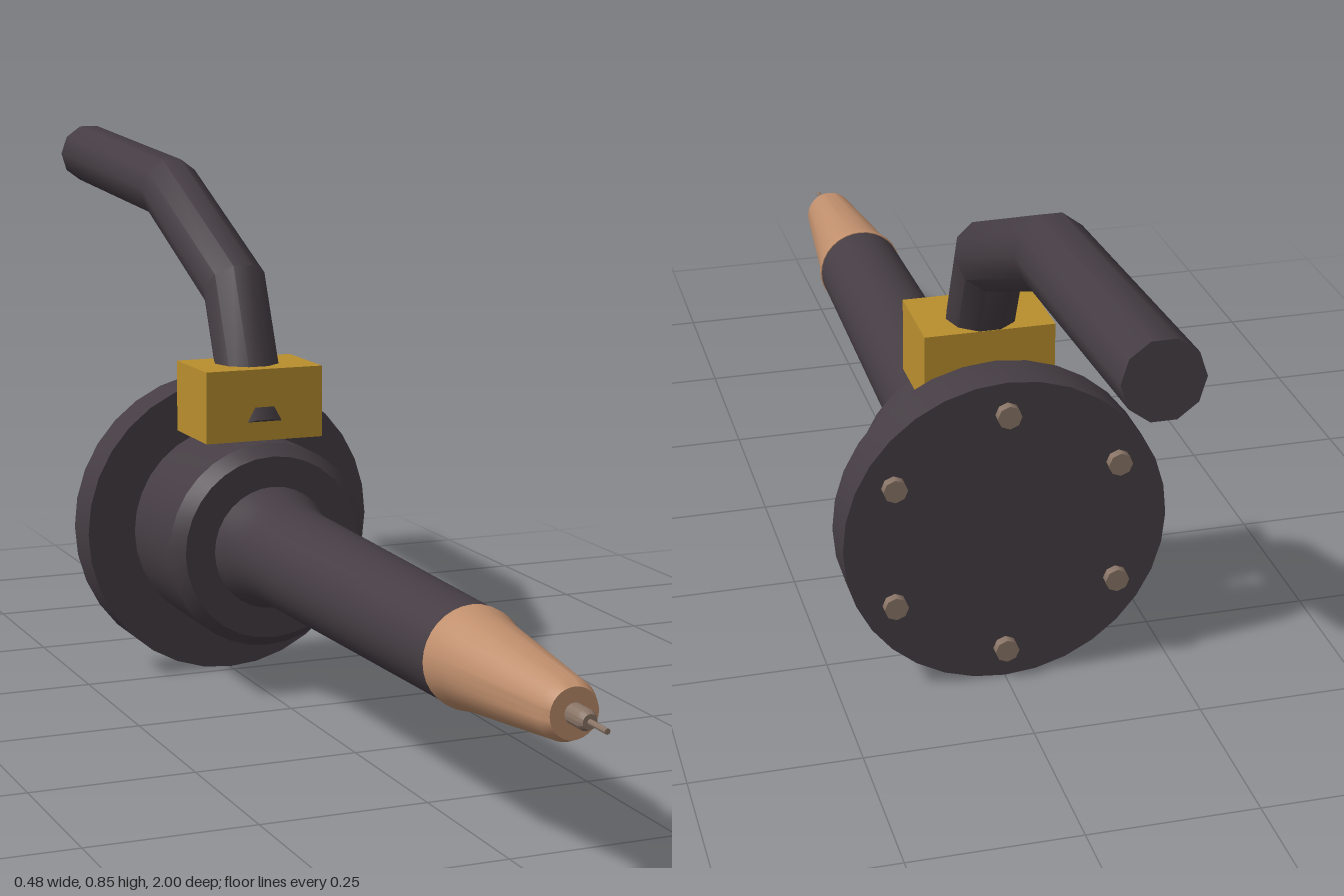
import * as THREE from 'three';
import { toCreasedNormals } from 'three/addons/utils/BufferGeometryUtils.js';

const AXIS_Y = 0.244;

const material = (name, color) => {
  const m = new THREE.MeshStandardMaterial({ color });
  m.name = name;
  return m;
};

// Turned part along z; profile is [radius, z] from back to front
function turned(name, profile, segments, mat) {
  const geo = new THREE.LatheGeometry(profile.map(([r, z]) => new THREE.Vector2(r, z)), segments);
  geo.rotateX(Math.PI / 2);
  const mesh = new THREE.Mesh(toCreasedNormals(geo, 0.45), mat);
  mesh.name = name;
  mesh.position.y = AXIS_Y;
  return mesh;
}

// Mitred pipe with closed ends; path is [y, z] points in the middle plane
function mitredPipe(path, radius, sides) {
  const pts = path.map(([y, z]) => new THREE.Vector3(0, y, z));
  const dirs = pts.slice(1).map((p, i) => p.clone().sub(pts[i]).normalize());
  const pos = [], index = [];
  pts.forEach((p, i) => {
    const before = dirs[Math.max(i - 1, 0)], after = dirs[Math.min(i, dirs.length - 1)];
    const d = before.clone().add(after).normalize();
    const stretch = 1 / d.dot(before);
    for (let j = 0; j < sides; j++) {
      const a = (j / sides) * Math.PI * 2;
      const n = Math.sin(a) * radius * stretch;
      pos.push(Math.cos(a) * radius, p.y + d.z * n, p.z - d.y * n);
    }
  });
  const last = (pts.length - 1) * sides;
  for (let j = 0; j < sides; j++) {
    const k = (j + 1) % sides;
    for (let b = 0; b < last; b += sides) {
      index.push(b + j, b + k, b + sides + k, b + j, b + sides + k, b + sides + j);
    }
    if (j > 0 && k > 0) index.push(0, k, j, last, last + j, last + k);
  }
  const geo = new THREE.BufferGeometry();
  geo.setAttribute('position', new THREE.Float32BufferAttribute(pos, 3));
  geo.setIndex(index);
  return toCreasedNormals(geo, 0.7);
}

export function createModel() {
  const group = new THREE.Group();
  group.name = 'torch';
  const dark = material('dark casing', 0x453d43);
  const brass = material('brass block', 0xb98f2e);
  const copper = material('copper nozzle', 0xc08f6d);
  const steel = material('warm steel', 0x8a7567);

  // Mounting flange
  group.add(turned('flange', [[0, -0.341], [0.241, -0.341], [0.241, -0.268], [0, -0.268]], 32, dark));

  // Collar with chamfered front edge
  group.add(turned('collar', [
    [0, -0.28], [0.163, -0.28], [0.163, -0.1], [0.145, -0.076], [0, -0.076],
  ], 32, dark));

  // Flared, slowly tapering barrel
  group.add(turned('barrel', [
    [0, -0.08], [0.098, -0.08], [0.089, -0.045], [0.083, -0.015], [0.08, 0.02], [0.07, 0.637], [0, 0.637],
  ], 32, dark));

  // Nozzle, contact tip and wire
  group.add(turned('nozzle', [
    [0, 0.632], [0.0715, 0.632], [0.0715, 0.642], [0.066, 0.665], [0.041, 0.9], [0.034, 0.917], [0, 0.917],
  ], 32, copper));
  group.add(turned('contactTip', [
    [0, 0.91], [0.014, 0.91], [0.014, 0.948], [0.01, 0.957], [0, 0.957],
  ], 16, steel));
  group.add(turned('wire', [[0, 0.95], [0.004, 0.95], [0.004, 1], [0, 1]], 8, steel));

  // Ring of six bolts on the back of the flange
  const boltGeo = new THREE.CylinderGeometry(0.018, 0.018, 0.02, 8);
  boltGeo.rotateX(Math.PI / 2);
  const bolts = new THREE.Group();
  bolts.name = 'flangeBolts';
  for (let i = 0; i < 6; i++) {
    const a = Math.PI / 2 + (i * Math.PI) / 3;
    const bolt = new THREE.Mesh(boltGeo, steel);
    bolt.name = 'bolt';
    bolt.position.set(Math.cos(a) * 0.192, AXIS_Y + Math.sin(a) * 0.192, -0.345);
    bolts.add(bolt);
  }
  group.add(bolts);

  // Connector block on top of the collar
  const block = new THREE.Mesh(new THREE.BoxGeometry(0.194, 0.113, 0.135), brass);
  block.name = 'connectorBlock';
  block.position.set(0, 0.4655, -0.1775);
  group.add(block);

  // Bent cable pipe, its lower end poking through the block
  const cable = new THREE.Mesh(
    mitredPipe([[0.423, -0.147], [0.637, -0.24], [0.77, -0.545], [0.8, -0.996]], 0.052, 10), dark);
  cable.name = 'cablePipe';
  group.add(cable);

  return group;
}
